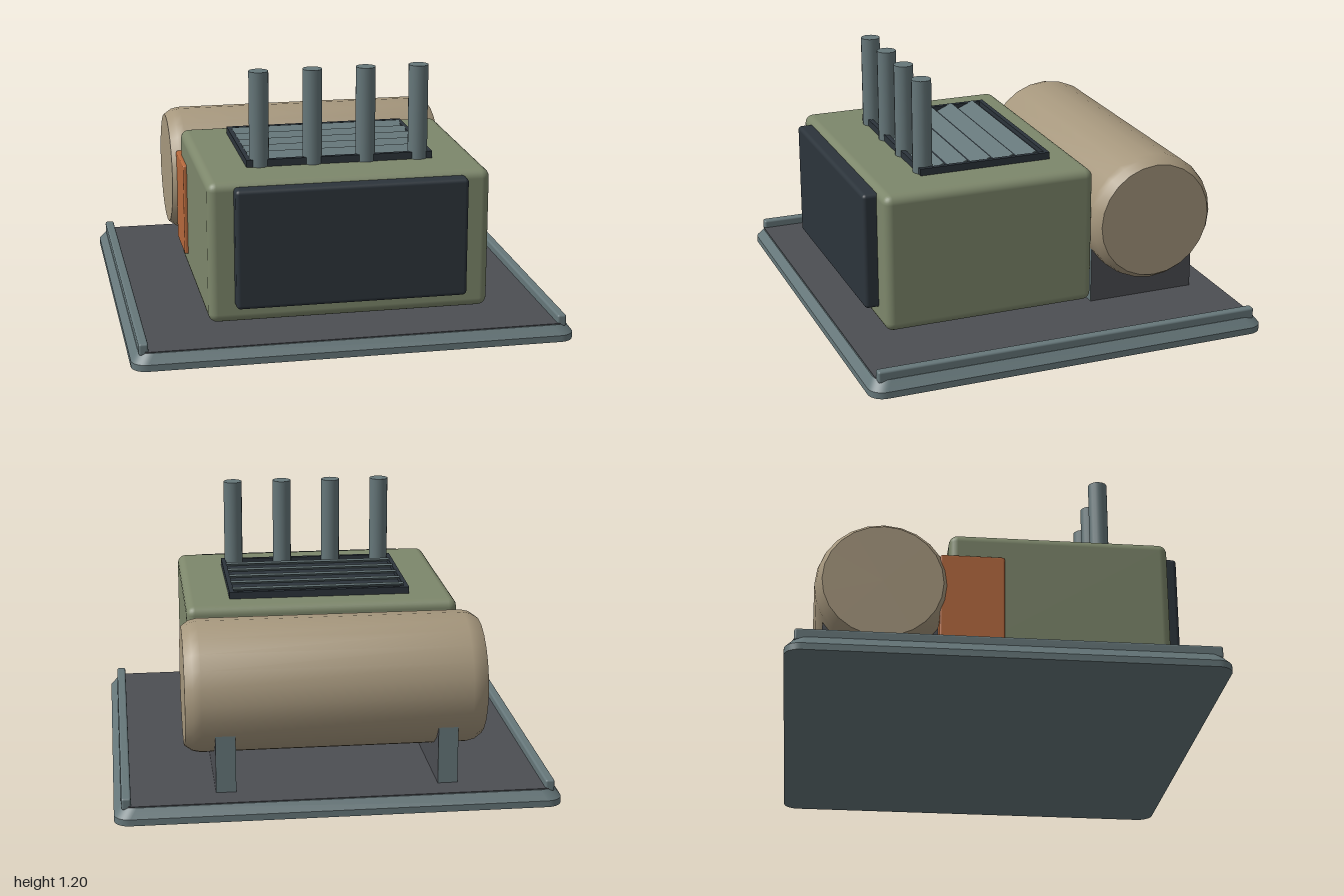
import * as THREE from 'three';
import { toCreasedNormals } from 'three/addons/utils/BufferGeometryUtils.js';
import { RoundedBoxGeometry } from 'three/addons/geometries/RoundedBoxGeometry.js';

function material(name, color) {
  const m = new THREE.MeshStandardMaterial({ color });
  m.name = name;
  return m;
}

// Rounded rectangle outline, centred on the origin
function roundedRect(w, d, r) {
  const s = new THREE.Shape();
  const x = w / 2 - r, y = d / 2 - r;
  s.absarc(x, y, r, 0, Math.PI / 2);
  s.absarc(-x, y, r, Math.PI / 2, Math.PI);
  s.absarc(-x, -y, r, Math.PI, Math.PI * 1.5);
  s.absarc(x, -y, r, Math.PI * 1.5, Math.PI * 2);
  s.closePath();
  return s;
}

// Flat-topped slab standing on y, with bevelled walls
function slab(w, d, r, y, h) {
  const g = new THREE.ExtrudeGeometry(roundedRect(w, d, r), { depth: h, bevelEnabled: false, curveSegments: 5 });
  return g.rotateX(-Math.PI / 2).translate(0, y, 0);
}

export function createModel() {
  const slate = material('slate metal', 0x66777a);
  const deckGrey = material('deck grey', 0x4c4e53);
  const green = material('olive green', 0x7d876b);
  const tan = material('tan', 0xa6977d);
  const dark = material('dark panel', 0x2c343b);
  const orange = material('orange', 0xb5683c);

  const model = new THREE.Group();
  function add(name, geometry, mat, x = 0, y = 0, z = 0) {
    const mesh = new THREE.Mesh(geometry, mat);
    mesh.name = name;
    mesh.position.set(x, y, z);
    model.add(mesh);
    return mesh;
  }
  const box = (w, h, d, r) => new RoundedBoxGeometry(w, h, d, 3, r);

  // Base plate: vertical foot, walls drawn in towards the top
  const base = slab(2, 1.9, 0.07, 0, 0.03);
  add('baseFoot', toCreasedNormals(base, 0.5), slate);
  const skirt = slab(2, 1.9, 0.07, 0.03, 0.042);
  const p = skirt.attributes.position;
  for (let i = 0; i < p.count; i++) {
    if (p.getY(i) > 0.05) p.setXYZ(i, p.getX(i) * 0.968, p.getY(i), p.getZ(i) * 0.968);
  }
  add('baseSkirt', toCreasedNormals(skirt, 0.5), slate);
  add('deck', slab(1.92, 1.83, 0.04, 0.07, 0.006), deckGrey);

  // Side rails
  for (const s of [-1, 1]) add('sideRail', box(0.042, 0.055, 1.82, 0.01), slate, s * 0.945, 0.085, 0);

  // Main housing with feet and front panel
  add('housing', box(1.275, 0.645, 1.0, 0.04), green, 0, 0.4475, 0.26);
  for (const x of [-0.49, 0.49]) {
    for (const z of [-0.1, 0.62]) add('foot', box(0.1, 0.05, 0.1, 0.012), dark, x, 0.13, z);
  }
  add('frontPanel', box(1.045, 0.545, 0.08, 0.018), dark, 0, 0.478, 0.783);

  // Side junction box
  add('junctionBox', box(0.265, 0.44, 0.29, 0.008), orange, -0.522, 0.43, -0.135);

  // Horizontal tank with chamfered ends
  const profile = [[0, -0.676], [0.27, -0.676], [0.295, -0.64], [0.303, -0.605],
    [0.303, 0.605], [0.295, 0.64], [0.27, 0.676], [0, 0.676]];
  const tank = new THREE.LatheGeometry(profile.map(([r, y]) => new THREE.Vector2(r, y)), 24);
  tank.rotateZ(Math.PI / 2);
  add('tank', toCreasedNormals(tank, 0.6), tan, 0, 0.495, -0.535);

  // Tank saddles: grey cheeks, slate edges
  const saddle = new THREE.Shape();
  saddle.moveTo(-0.26, 0);
  saddle.lineTo(0.26, 0);
  saddle.lineTo(0.26, 0.275);
  saddle.absarc(0, 0.425, 0.3, -0.5236, -Math.PI + 0.5236, true);
  saddle.closePath();
  const saddleGeometry = new THREE.ExtrudeGeometry(saddle, { depth: 0.09, bevelEnabled: false });
  saddleGeometry.rotateY(Math.PI / 2).translate(-0.045, 0, 0);
  for (const x of [-0.5, 0.5]) add('tankSaddle', saddleGeometry, [deckGrey, slate], x, 0.07, -0.535);

  // Roof grille: dark bed, frame and tilted louvres
  add('grilleBed', new THREE.BoxGeometry(0.84, 0.012, 0.62), dark, 0, 0.774, 0.206);
  for (const s of [-1, 1]) {
    add('grilleSide', new THREE.BoxGeometry(0.022, 0.035, 0.628), dark, s * 0.417, 0.785, 0.206);
    add('grilleEnd', new THREE.BoxGeometry(0.856, 0.035, 0.022), dark, 0, 0.785, 0.206 + s * 0.303);
  }
  for (let i = 0; i < 5; i++) {
    const louvre = add('louvre', new THREE.BoxGeometry(0.82, 0.01, 0.082), slate, 0, 0.791, -0.012 + i * 0.1125);
    louvre.rotation.x = 0.4;
  }

  // Row of exhaust pipes
  for (const x of [-0.366, -0.122, 0.122, 0.366]) {
    add('exhaustPipe', new THREE.CylinderGeometry(0.045, 0.045, 0.44, 16), slate, x, 0.984, 0.49);
  }
  return model;
}
